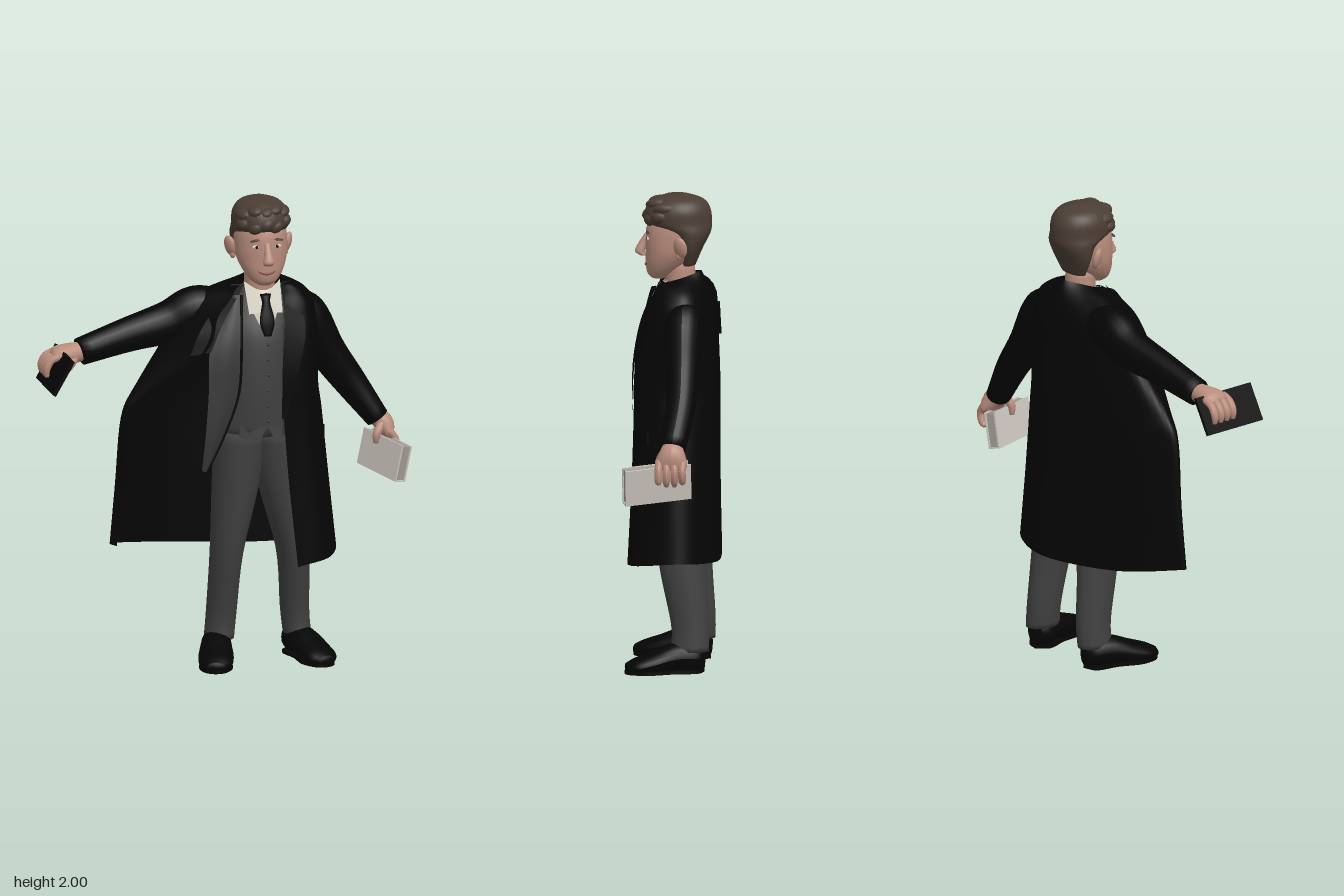
import * as THREE from 'three';

const mat = (name, color, side = THREE.FrontSide) => {
  const m = new THREE.MeshStandardMaterial({ color, side });
  m.name = name;
  return m;
};
const V = (x, y, z) => new THREE.Vector3(x, y, z);
const spline = (pts) => new THREE.CatmullRomCurve3(pts, false, 'catmullrom', 0.5);

// Indexed grid of points; outward when columns run counter-clockwise round the row direction
function gridGeometry(rows) {
  const pos = [], idx = [], w = rows[0].length;
  rows.forEach((r) => r.forEach((p) => pos.push(p.x, p.y, p.z)));
  for (let i = 0; i < rows.length - 1; i++) {
    for (let j = 0; j < w - 1; j++) {
      const a = i * w + j, b = a + 1, c = b + w, d = a + w;
      idx.push(a, b, c, a, c, d);
    }
  }
  const g = new THREE.BufferGeometry();
  g.setAttribute('position', new THREE.Float32BufferAttribute(pos, 3));
  g.setIndex(idx);
  g.computeVertexNormals();
  return g;
}

// Closed solid with elliptical sections; pts are [x, y, z, radiusA, radiusB]
function limb(pts, { axis = null, ref = V(0, 0, 1), n = 20, steps = 5 } = {}) {
  const path = spline(pts.map((p) => V(p[0], p[1], p[2])));
  const rad = spline(pts.map((p) => V(p[3], p[4], 0)));
  const count = (pts.length - 1) * steps, rows = [];
  const ring = (t, k) => {
    const c = path.getPoint(t), r = rad.getPoint(t), T = axis || path.getTangent(t);
    const A = ref.clone().cross(T).normalize(), B = T.clone().cross(A).normalize();
    const row = [];
    for (let j = 0; j <= n; j++) {
      const a = (j / n) * Math.PI * 2;
      row.push(c.clone().addScaledVector(A, Math.cos(a) * r.x * k).addScaledVector(B, Math.sin(a) * r.y * k));
    }
    rows.push(row);
  };
  ring(0, 0.001);
  for (let i = 0; i <= count; i++) ring(i / count, 1);
  ring(1, 0.001);
  return gridGeometry(rows);
}

// Smooth open cloth through rows of points
function sheet(rows, nu = 12, nv = 16) {
  const across = rows.map((r) => spline(r).getPoints(nu));
  const cols = across[0].map((_, j) => spline(across.map((r) => r[j])).getPoints(nv));
  return gridGeometry(Array.from({ length: nv + 1 }, (_, i) => cols.map((c) => c[i])));
}

export function createModel() {
  const black = mat('coatBlack', 0x050505, THREE.DoubleSide);
  const suit = mat('suitGrey', 0x404041, THREE.DoubleSide);
  const jacket = mat('jacketGrey', 0x353536, THREE.DoubleSide);
  const skin = mat('skin', 0xb98d7c);
  const lip = mat('lip', 0x855548);
  const brown = mat('hairBrown', 0x4b3d34);
  const white = mat('shirtWhite', 0xd6d1c4, THREE.DoubleSide);
  const cover = mat('bookCover', 0xcfc9c1);
  const paper = mat('bookPages', 0xa19c94);

  const model = new THREE.Group();
  model.name = 'manInLongCoat';
  const add = (name, geo, m, parent = model) => {
    const mesh = new THREE.Mesh(geo, m);
    mesh.name = name;
    parent.add(mesh);
    return mesh;
  };
  const ball = (name, m, x, y, z, a, b, c) => {
    const s = add(name, new THREE.SphereGeometry(1, 16, 12), m);
    s.position.set(x, y, z);
    s.scale.set(a, b, c);
    return s;
  };
  const UP = V(0, 1, 0);

  // Trousers
  add('rightTrouserLeg', limb([[0, 0.09, -0.08, 0.062, 0.08], [0.01, 0.2, -0.08, 0.063, 0.08], [0.024, 0.46, -0.047, 0.068, 0.1],
    [0.06, 0.75, -0.04, 0.097, 0.12], [0.08, 1, -0.03, 0.11, 0.125]], { axis: UP }), suit);
  add('leftTrouserLeg', limb([[0.335, 0.09, -0.08, 0.058, 0.08], [0.325, 0.2, -0.08, 0.06, 0.08], [0.308, 0.46, -0.047, 0.068, 0.1],
    [0.255, 0.75, -0.04, 0.095, 0.12], [0.23, 1, -0.03, 0.11, 0.125]], { axis: UP }), suit);

  // Shoes, toes turned out
  for (const [side, x, yaw] of [['right', -0.035, -0.25], ['left', 0.357, 0.25]]) {
    const shoe = new THREE.Group();
    shoe.name = side + 'Shoe';
    const upper = limb([[0, 0.065, -0.158, 0.032, 0.05], [0, 0.065, -0.12, 0.058, 0.062], [0, 0.065, -0.03, 0.066, 0.06],
      [0, 0.045, 0.06, 0.074, 0.046], [0, 0.03, 0.13, 0.068, 0.036], [0, 0.025, 0.172, 0.036, 0.02]], { axis: V(0, 0, 1), ref: UP });
    const p = upper.attributes.position;
    for (let i = 0; i < p.count; i++) p.setY(i, Math.max(0.012, p.getY(i)));
    upper.computeVertexNormals();
    add('upper', upper, black, shoe);
    const outline = new THREE.Shape(spline([V(0, -0.16, 0), V(0.055, -0.12, 0), V(0.053, -0.02, 0), V(0.07, 0.08, 0), V(0.045, 0.155, 0),
      V(0, 0.178, 0), V(-0.045, 0.155, 0), V(-0.07, 0.08, 0), V(-0.053, -0.02, 0), V(-0.055, -0.12, 0), V(0, -0.16, 0)])
      .getPoints(40).map((q) => new THREE.Vector2(q.x, -q.y)));
    const sole = new THREE.ExtrudeGeometry(outline, { depth: 0.014, bevelEnabled: false });
    sole.rotateX(-Math.PI / 2);
    add('sole', sole, black, shoe);
    shoe.position.set(x, 0, 0.015);
    shoe.rotation.y = yaw;
    model.add(shoe);
  }

  // Waistcoat with buttons and pointed hem
  add('waistcoat', limb([[0.15, 0.99, -0.02, 0.168, 0.132], [0.145, 1.2, -0.02, 0.155, 0.142], [0.15, 1.4, -0.03, 0.17, 0.138],
    [0.155, 1.52, -0.04, 0.16, 0.105], [0.16, 1.61, -0.035, 0.08, 0.065]], { axis: UP, n: 32 }), suit);
  for (let i = 0; i < 6; i++) ball('waistcoatButton', jacket, 0.165, 1.06 + i * 0.066, 0.117, 0.007, 0.007, 0.006);
  for (const s of [-1, 1]) {
    add('waistcoatPoint', sheet([[V(0.16 + s * 0.004, 1.04, 0.122), V(0.16 + s * 0.11, 1.04, 0.09)],
      [V(0.16 + s * 0.035, 0.965, 0.122), V(0.16 + s * 0.115, 0.99, 0.09)]], 4, 4), suit);
  }

  // Shirt front, collar points and tie
  add('shirtFront', sheet([[V(0.09, 1.63, 0.03), V(0.16, 1.61, 0.055), V(0.235, 1.63, 0.03)],
    [V(0.1, 1.55, 0.065), V(0.16, 1.55, 0.085), V(0.225, 1.55, 0.065)], [V(0.15, 1.43, 0.118), V(0.16, 1.43, 0.12), V(0.17, 1.43, 0.118)]]), white);
  for (const s of [-1, 1]) {
    add('collarPoint', sheet([[V(0.16 + s * 0.005, 1.6, 0.078), V(0.16 + s * 0.078, 1.645, 0.02)],
      [V(0.16 + s * 0.035, 1.525, 0.108), V(0.16 + s * 0.072, 1.52, 0.093)]], 5, 5), white);
  }
  add('tie', limb([[0.16, 1.6, 0.082, 0.024, 0.014], [0.16, 1.565, 0.095, 0.018, 0.012], [0.16, 1.49, 0.116, 0.032, 0.009],
    [0.16, 1.43, 0.126, 0.016, 0.006]], { axis: V(0, -1, 0) }), black);

  // Open suit jacket front
  const jacketRows = [[1.6, 0.01, 0.04, 0.06, 0.07], [1.4, -0.085, 0.12, 0.045, 0.135], [1.2, -0.1, 0.15, 0.03, 0.15],
    [1.03, -0.115, 0.16, -0.03, 0.155], [0.87, -0.13, 0.15, -0.105, 0.15]];
  add('jacketFront', sheet(jacketRows.map(([y, xa, za, xb, zb]) => [V(xa, y, za), V((xa + xb) / 2, y, (za + zb) / 2 + 0.012), V(xb, y, zb)])), jacket);
  add('jacketEdge', limb(jacketRows.map(([y, , , x, z]) => [x, y, z, 0.006, 0.006]), { n: 6 }), black);
  add('jacketLeftEdge', sheet([[V(0.25, 1.6, 0.05), V(0.29, 1.6, 0.03)], [V(0.225, 1.4, 0.12), V(0.28, 1.4, 0.1)],
    [V(0.225, 1, 0.125), V(0.28, 1, 0.1)]]), jacket);

  // Long coat: [y, right edge x z, right side x z, back z, left side x z, front edge x z]
  const coatLevels = [
    [1.675, 0.075, 0.03, 0.07, -0.03, -0.115, 0.25, -0.03, 0.245, 0.03],
    [1.625, 0.04, 0.06, -0.02, -0.04, -0.14, 0.31, -0.04, 0.25, 0.06],
    [1.585, 0.01, 0.08, -0.11, -0.05, -0.158, 0.365, -0.05, 0.245, 0.08],
    [1.52, -0.05, 0.11, -0.17, -0.05, -0.178, 0.4, -0.05, 0.24, 0.11],
    [1.38, -0.11, 0.14, -0.26, -0.05, -0.187, 0.41, -0.04, 0.225, 0.15],
    [1.2, -0.33, 0.05, -0.378, -0.03, -0.192, 0.405, -0.02, 0.215, 0.165],
    [1.08, -0.415, 0.025, -0.425, -0.025, -0.192, 0.42, -0.02, 0.22, 0.165],
    [0.8, -0.44, 0.02, -0.447, -0.03, -0.192, 0.45, -0.03, 0.24, 0.172],
    [0.447, -0.465, 0.025, -0.472, -0.02, -0.197, 0.485, -0.04, 0.275, 0.187],
  ];
  add('coat', sheet(coatLevels.map(([y, ex, ez, rx, rz, bz, lx, lz, fx, fz], k) => {
    const row = [V(ex, y, ez), V(rx, y, rz), V(0.17 + (rx - 0.17) * 0.6, y, bz + 0.047), V(0.17, y, bz),
      V(0.17 + (lx - 0.17) * 0.68, y, bz + 0.045), V(lx, y, lz), V(fx + (lx - fx) * 0.72, y, lz + (fz - lz) * 0.75), V(fx, y, fz)];
    // collar dips at the front, hem rises towards the swung-open side
    row.forEach((p) => {
      if (k === 0) p.y -= (p.z + 0.115) * 0.28;
      if (k === coatLevels.length - 1) p.y += 0.012 + Math.max(0, -p.x) * 0.17 + Math.max(0, p.x - 0.3) * 0.12 - Math.max(0, p.z) * 0.1;
    });
    return row;
  }), 56, 48), black);
  add('leftLapel', sheet([[V(0.235, 1.64, 0.045), V(0.285, 1.635, 0.02)], [V(0.235, 1.5, 0.125), V(0.325, 1.47, 0.11)],
    [V(0.215, 1.3, 0.168), V(0.29, 1.3, 0.155)], [V(0.21, 1.08, 0.172), V(0.225, 1.08, 0.172)]]), black);
  add('rightLapel', sheet([[V(0.08, 1.64, 0.045), V(0.03, 1.635, 0.02)], [V(-0.03, 1.5, 0.12), V(-0.11, 1.48, 0.09)],
    [V(-0.09, 1.38, 0.145), V(-0.17, 1.36, 0.11)]]), black);
  const pocket = add('pocketFlap', new THREE.BoxGeometry(0.1, 0.05, 0.012), black);
  pocket.position.set(0.365, 1.0, 0.115);
  pocket.rotation.y = 0.5;

  // Sleeves
  add('rightSleeve', limb([[0.02, 1.52, -0.06, 0.07, 0.07], [-0.1, 1.515, -0.065, 0.1, 0.09], [-0.22, 1.465, -0.07, 0.09, 0.08],
    [-0.4, 1.425, -0.055, 0.073, 0.066], [-0.61, 1.37, -0.035, 0.058, 0.056]]), black);
  add('leftSleeve', limb([[0.29, 1.52, -0.05, 0.07, 0.075], [0.36, 1.46, -0.055, 0.1, 0.085], [0.46, 1.3, -0.06, 0.08, 0.072],
    [0.56, 1.16, -0.06, 0.068, 0.063], [0.67, 1.005, -0.035, 0.05, 0.056]]), black);

  // Hands
  const digit = (name, pts, r = 0.016) => add(name, limb(pts.map(([x, y, z], i) => {
    const k = i === pts.length - 1 ? r * 0.6 : r;
    return [x, y, z, k, k];
  }), { n: 10 }), skin);
  add('rightPalm', limb([[-0.6, 1.373, -0.035, 0.04, 0.037], [-0.66, 1.365, -0.03, 0.045, 0.052], [-0.71, 1.365, -0.025, 0.036, 0.062],
    [-0.735, 1.36, -0.025, 0.015, 0.04]]), skin);
  add('leftPalm', limb([[0.66, 1.02, -0.035, 0.038, 0.038], [0.695, 0.985, -0.035, 0.042, 0.055], [0.71, 0.945, -0.035, 0.03, 0.065],
    [0.715, 0.92, -0.035, 0.015, 0.05]]), skin);
  for (let i = 0; i < 4; i++) {
    const z = -0.075 + i * 0.033, zl = z - 0.005;
    digit('rightFinger', [[-0.7, 1.375, z], [-0.745, 1.355, z], [-0.765, 1.32, z], [-0.765, 1.285, z]]);
    digit('leftFinger', [[0.71, 0.96, zl], [0.735, 0.92, zl], [0.725 + i * 0.004, 0.88, zl], [0.705 + i * 0.008, 0.85 + Math.abs(i - 1.5) * 0.01, zl]]);
  }
  digit('rightThumb', [[-0.64, 1.35, 0], [-0.68, 1.32, 0.035], [-0.715, 1.29, 0.03]], 0.018);
  digit('leftThumb', [[0.68, 0.99, 0], [0.655, 0.95, 0.02], [0.65, 0.91, 0.02]], 0.018);

  // Black notebook in the right hand
  const notebook = add('notebook', new THREE.BoxGeometry(0.165, 0.014, 0.3), black);
  notebook.position.set(-0.73, 1.315, 0.03);
  notebook.rotation.z = 1.05;

  // Pale book in the left hand
  const book = new THREE.Group();
  book.name = 'book';
  add('pageBlock', new THREE.BoxGeometry(0.04, 0.145, 0.274), paper, book);
  for (const s of [-1, 1]) add('bookBoard', new THREE.BoxGeometry(0.007, 0.155, 0.285), cover, book).position.x = s * 0.0225;
  add('bookSpine', new THREE.BoxGeometry(0.05, 0.007, 0.285), cover, book).position.y = -0.074;
  book.position.set(0.685, 0.86, 0.03);
  book.rotation.set(0, 0.36, -0.2, 'ZYX');
  model.add(book);

  // Head and neck
  add('neck', limb([[0.16, 1.56, -0.03, 0.065, 0.065], [0.16, 1.72, -0.02, 0.062, 0.065]], { axis: UP }), skin);
  add('face', limb([[0.16, 1.64, 0.065, 0.028, 0.028], [0.16, 1.66, 0.057, 0.058, 0.055], [0.16, 1.7, 0.034, 0.086, 0.086],
    [0.16, 1.75, 0.01, 0.106, 0.11], [0.16, 1.8, 0, 0.111, 0.12], [0.16, 1.86, -0.01, 0.108, 0.125], [0.16, 1.94, -0.015, 0.09, 0.1]],
  { axis: UP, n: 32 }), skin);
  add('nose', limb([[0.16, 1.83, 0.11, 0.012, 0.012], [0.16, 1.79, 0.13, 0.016, 0.018], [0.16, 1.752, 0.144, 0.024, 0.021],
    [0.16, 1.735, 0.13, 0.018, 0.015]], { axis: V(0, -1, 0) }), skin);
  add('mouth', limb([[0.1, 1.727, 0.09, 0.003, 0.003], [0.13, 1.704, 0.112, 0.005, 0.004], [0.16, 1.697, 0.12, 0.006, 0.004],
    [0.19, 1.704, 0.112, 0.005, 0.004], [0.22, 1.727, 0.09, 0.003, 0.003]], { n: 8 }), lip);
  for (const s of [-1, 1]) {
    const x = (d) => 0.16 + s * d;
    ball('eye', white, x(0.044), 1.812, 0.106, 0.019, 0.009, 0.007);
    ball('pupil', black, x(0.044), 1.812, 0.112, 0.006, 0.007, 0.003);
    ball('eyebrow', brown, x(0.047), 1.84, 0.106, 0.025, 0.005, 0.008).rotation.z = -s * 0.15;
    ball('ear', skin, x(0.122), 1.787, -0.035, 0.018, 0.047, 0.032).rotation.set(0, -s * 0.5, -s * 0.25);
    ball('earLobe', skin, x(0.113), 1.752, -0.03, 0.012, 0.018, 0.015);
  }

  // Hair: close at the nape, full on top, with loose curls over the forehead
  add('hair', limb([[0.16, 1.7, -0.06, 0.068, 0.03], [0.16, 1.77, -0.068, 0.104, 0.052], [0.16, 1.835, -0.065, 0.116, 0.087],
    [0.16, 1.88, -0.02, 0.119, 0.138], [0.16, 1.935, -0.016, 0.115, 0.136], [0.16, 1.975, -0.018, 0.088, 0.105], [0.16, 1.997, -0.015, 0.035, 0.045]],
  { axis: UP, n: 32 }), brown);
  for (let i = 0; i < 5; i++) {
    const a = (i - 2) / 2;
    ball('curl', brown, 0.16 + a * 0.08, 1.905 - (i % 2) * 0.012, 0.095 - a * a * 0.045, 0.038, 0.03, 0.04).rotation.z = 0.5;
    ball('topCurl', brown, 0.16 + a * 0.075, 1.948 + (i % 2) * 0.01 - a * a * 0.008, 0.065 - a * a * 0.035, 0.04, 0.028, 0.055).rotation.z = 0.3;
  }
  return model;
}
